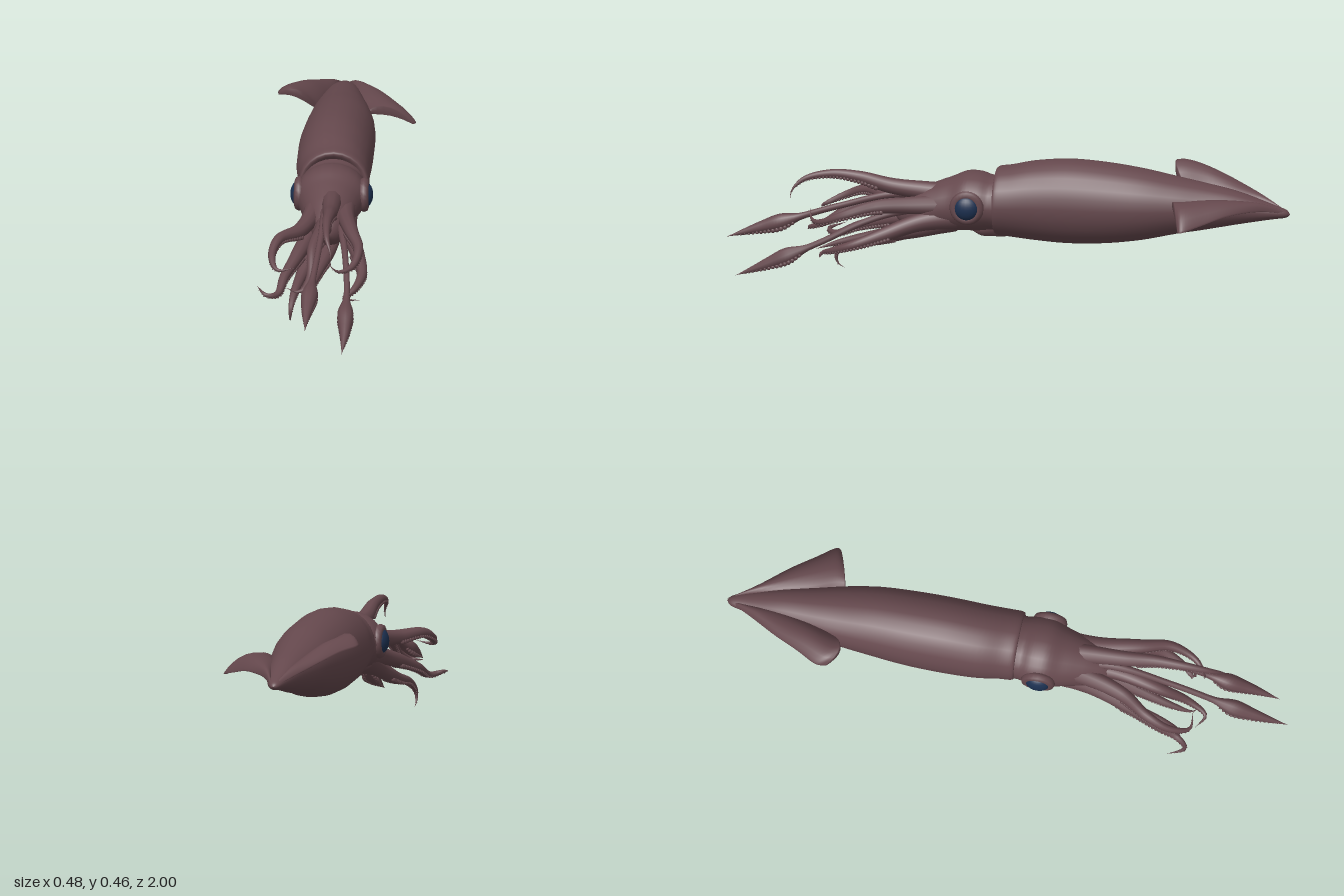
import * as THREE from 'three';
import { mergeGeometries } from 'three/addons/utils/BufferGeometryUtils.js';

const V = (a) => new THREE.Vector3(...a);

// Closed rings joined row to row; point(u, angle) gives each vertex
function skin(rows, sides, point) {
  const pos = [], idx = [];
  for (let i = 0; i <= rows; i++)
    for (let j = 0; j < sides; j++) pos.push(...point(i / rows, (j / sides) * Math.PI * 2));
  for (let i = 0; i < rows; i++)
    for (let j = 0; j < sides; j++) {
      const a = i * sides + j, b = i * sides + ((j + 1) % sides);
      idx.push(a, b, a + sides, b, b + sides, a + sides);
    }
  const g = new THREE.BufferGeometry();
  g.setAttribute('position', new THREE.Float32BufferAttribute(pos, 3));
  g.setIndex(idx);
  g.computeVertexNormals();
  return g;
}

// Smooth interpolation through a list of equal-length rows
function sample(list, u) {
  const f = u * (list.length - 1), i = Math.min(Math.floor(f), list.length - 2), t = f - i;
  const at = (k) => list[Math.max(0, Math.min(list.length - 1, k))];
  return list[0].map((_, c) => {
    const [a, b, d, e] = [at(i - 1)[c], at(i)[c], at(i + 1)[c], at(i + 2)[c]];
    return b + 0.5 * t * (d - a + t * (2 * a - 5 * b + 4 * d - e + t * (3 * (b - d) + e - a)));
  });
}

// Body sections: [z, centre x, centre y, half width, half height]
const loft = (list, rows, sides) => skin(rows, sides, (u, a) => {
  const [z, cx, cy, rx, ry] = sample(list, u);
  return [cx + Math.max(rx, 0) * Math.cos(a), cy + Math.max(ry, 0) * Math.sin(a), z];
});

// Tapered limb along a curve
function limb(points, radii, rows = 44, sides = 10) {
  const curve = new THREE.CatmullRomCurve3(points.map(V));
  const fr = curve.computeFrenetFrames(rows);
  return skin(rows, sides, (u, a) => {
    const i = Math.round(u * rows), r = Math.max(sample(radii, u)[0], 0);
    return curve.getPointAt(u)
      .addScaledVector(fr.normals[i], r * Math.cos(a))
      .addScaledVector(fr.binormals[i], r * Math.sin(a)).toArray();
  });
}

// Two rows of suckers on the underside of a limb
function suckers(points, radii, from, count, size) {
  const curve = new THREE.CatmullRomCurve3(points.map(V)), out = [];
  for (let i = 0; i < count; i++) {
    const u = from + (0.97 - from) * (i / count), r = Math.max(sample(radii, u)[0], 0.004);
    const t = curve.getTangentAt(u);
    const side = new THREE.Vector3(0, 1, 0).cross(t).normalize();
    const down = side.clone().cross(t).normalize();
    for (const s of [-1, 1]) {
      const p = curve.getPointAt(u).addScaledVector(side, s * r * 0.7).addScaledVector(down, r * 0.7);
      out.push(new THREE.SphereGeometry(r * size, 6, 4).translate(p.x, p.y, p.z));
    }
  }
  return mergeGeometries(out);
}

// Fin stations hold root, middle and edge points
function fin(stations, side) {
  return skin(30, 20, (u, a) => {
    const p = sample(stations, Math.min(1, u * 30 / 29)), s = (1 + Math.cos(a)) / 2;
    const w = [(1 - s) * (1 - 2 * s), 4 * s * (1 - s), s * (2 * s - 1)];
    const c = [0, 1, 2].map((k) => w[0] * p[k] + w[1] * p[k + 3] + w[2] * p[k + 6]);
    const thick = u === 1 ? 0 : 0.018 * Math.min(1, u * 4) * (1.1 - 0.6 * s);
    c[1] += side * thick * Math.sin(a);
    return c;
  });
}

export function createModel() {
  const skinMat = new THREE.MeshStandardMaterial({ color: 0x65484d });
  skinMat.name = 'mauve skin';
  const eyeMat = new THREE.MeshStandardMaterial({ color: 0x1c3050 });
  eyeMat.name = 'dark blue eye';
  const squid = new THREE.Group();
  squid.name = 'squid';
  const add = (name, geo, mat = skinMat) => {
    const m = new THREE.Mesh(geo, mat);
    m.name = name;
    squid.add(m);
    return m;
  };

  // Mantle, with the lip turned in at the front
  add('mantle', loft([
    [-1, -0.025, 0.3, 0, 0], [-0.985, -0.025, 0.302, 0.018, 0.014], [-0.93, -0.022, 0.308, 0.036, 0.028],
    [-0.82, -0.02, 0.317, 0.062, 0.057], [-0.7, -0.018, 0.318, 0.086, 0.082], [-0.6, -0.014, 0.319, 0.105, 0.101],
    [-0.48, -0.01, 0.318, 0.121, 0.126], [-0.35, -0.012, 0.317, 0.13, 0.143], [-0.22, -0.013, 0.317, 0.132, 0.149],
    [-0.1, -0.012, 0.315, 0.129, 0.14], [-0.02, -0.005, 0.312, 0.124, 0.127], [0.025, -0.003, 0.311, 0.122, 0.121],
    [0.034, -0.003, 0.31, 0.112, 0.11], [0.02, -0.003, 0.31, 0.09, 0.09],
  ], 65, 24), skinMat);

  // Fins
  add('rightFin', fin([
    [-0.025, 0.3, -1, -0.027, 0.3, -1, -0.03, 0.3, -0.995],
    [-0.04, 0.325, -0.93, -0.06, 0.332, -0.92, -0.08, 0.33, -0.91],
    [-0.05, 0.345, -0.82, -0.105, 0.37, -0.81, -0.145, 0.365, -0.81],
    [-0.07, 0.355, -0.72, -0.14, 0.405, -0.7, -0.195, 0.39, -0.72],
    [-0.09, 0.355, -0.645, -0.175, 0.42, -0.61, -0.235, 0.4, -0.65],
    [-0.1, 0.35, -0.62, -0.17, 0.42, -0.57, -0.235, 0.4, -0.61],
  ], -1));
  add('leftFin', fin([
    [-0.02, 0.3, -1, -0.018, 0.3, -1, -0.016, 0.3, -0.995],
    [0, 0.325, -0.93, 0.02, 0.33, -0.92, 0.035, 0.323, -0.91],
    [0.02, 0.34, -0.82, 0.08, 0.348, -0.81, 0.12, 0.325, -0.81],
    [0.04, 0.345, -0.72, 0.13, 0.35, -0.72, 0.19, 0.305, -0.725],
    [0.07, 0.345, -0.64, 0.165, 0.345, -0.65, 0.24, 0.29, -0.665],
    [0.08, 0.345, -0.6, 0.155, 0.34, -0.62, 0.235, 0.287, -0.645],
  ], 1));

  // Head, narrowing into the arm crown
  add('head', loft([
    [-0.02, -0.004, 0.305, 0, 0], [0.0, -0.004, 0.305, 0.105, 0.09], [0.05, -0.004, 0.303, 0.113, 0.095],
    [0.09, -0.006, 0.306, 0.122, 0.103], [0.14, -0.006, 0.305, 0.122, 0.104], [0.19, -0.007, 0.293, 0.106, 0.095],
    [0.24, -0.006, 0.283, 0.092, 0.086], [0.3, -0.005, 0.265, 0.075, 0.078], [0.36, -0.005, 0.255, 0.045, 0.05],
    [0.4, -0.005, 0.25, 0, 0],
  ], 36, 24));

  // Funnel under the head
  add('funnel', limb([[0, 0.235, -0.01], [0, 0.215, 0.05], [0, 0.203, 0.1], [0, 0.2, 0.125]],
    [[0.05], [0.045], [0.033], [0.024], [0]], 16, 12));

  // Eyes with raised rims
  for (const [name, s, x] of [['left', 1, 0.113], ['right', -1, -0.122]]) {
    const eye = add(name + 'Eye', new THREE.SphereGeometry(0.044, 20, 14), eyeMat);
    eye.position.set(x, 0.308, 0.122);
    eye.scale.x = 0.62;
    const rim = add(name + 'EyeRim', new THREE.TorusGeometry(0.044, 0.017, 8, 24));
    rim.position.set(x - s * 0.004, 0.308, 0.122);
    rim.rotation.y = Math.PI / 2;
  }

  // Eight arms
  const arms = {
    topArm: [[0, 0.32, 0.16], [0.005, 0.335, 0.28], [0.008, 0.35, 0.41], [0.01, 0.377, 0.52], [0.008, 0.383, 0.62],
      [0.015, 0.36, 0.715], [0.03, 0.32, 0.755], [0.03, 0.288, 0.76]],
    upperRightArm: [[-0.05, 0.31, 0.16], [-0.065, 0.29, 0.3], [-0.1, 0.28, 0.42], [-0.165, 0.285, 0.52],
      [-0.185, 0.255, 0.6], [-0.16, 0.225, 0.67], [-0.1, 0.235, 0.67]],
    lowerRightArm: [[-0.055, 0.26, 0.16], [-0.07, 0.23, 0.3], [-0.11, 0.19, 0.45], [-0.145, 0.155, 0.55],
      [-0.165, 0.12, 0.63], [-0.2, 0.127, 0.66], [-0.24, 0.143, 0.6]],
    bottomRightArm: [[-0.04, 0.235, 0.18], [-0.06, 0.18, 0.33], [-0.09, 0.13, 0.46], [-0.11, 0.1, 0.57],
      [-0.118, 0.06, 0.62], [-0.12, 0.025, 0.615], [-0.12, 0.008, 0.59]],
    bottomArm: [[0.01, 0.24, 0.18], [0, 0.19, 0.33], [-0.03, 0.155, 0.47], [-0.05, 0.125, 0.58], [-0.05, 0.1, 0.66],
      [-0.03, 0.096, 0.68]],
    lowerLeftArm: [[0.045, 0.26, 0.16], [0.065, 0.235, 0.3], [0.105, 0.195, 0.42], [0.125, 0.16, 0.52],
      [0.1, 0.13, 0.6], [0.07, 0.113, 0.64], [0.13, 0.108, 0.64]],
    upperLeftArm: [[0.045, 0.3, 0.16], [0.055, 0.295, 0.3], [0.085, 0.29, 0.45], [0.115, 0.265, 0.55],
      [0.095, 0.23, 0.64], [0.05, 0.228, 0.68], [0.015, 0.262, 0.69]],
    middleArm: [[-0.01, 0.28, 0.2], [-0.02, 0.275, 0.4], [-0.045, 0.255, 0.54], [-0.05, 0.19, 0.65],
      [-0.08, 0.162, 0.71], [-0.135, 0.165, 0.68]],
  };
  const armRadii = [[0.044], [0.036], [0.03], [0.026], [0.02], [0.015], [0.009], [0]];
  for (const [name, path] of Object.entries(arms)) {
    add(name, limb(path, armRadii));
    add(name + 'Suckers', suckers(path, armRadii, 0.45, 26, 0.35));
  }

  // Two long tentacles ending in clubs
  const tentacles = {
    rightTentacle: [[-0.02, 0.3, 0.2], [-0.015, 0.315, 0.38], [-0.025, 0.257, 0.6], [-0.04, 0.188, 0.8],
      [-0.045, 0.155, 0.9], [-0.045, 0.122, 1]],
    leftTentacle: [[0.03, 0.285, 0.18], [0.045, 0.27, 0.36], [0.065, 0.225, 0.5], [0.08, 0.155, 0.64],
      [0.082, 0.1, 0.76], [0.084, 0.055, 0.86], [0.08, 0.018, 0.948]],
  };
  const clubRadii = [[0.024], [0.02], [0.016], [0.014], [0.012], [0.011], [0.011], [0.011], [0.013], [0.029], [0.022], [0.011], [0]];
  for (const [name, path] of Object.entries(tentacles)) {
    add(name, limb(path, clubRadii, 72));
    add(name + 'Suckers', suckers(path, clubRadii, 0.7, 15, 0.32));
  }
  return squid;
}
